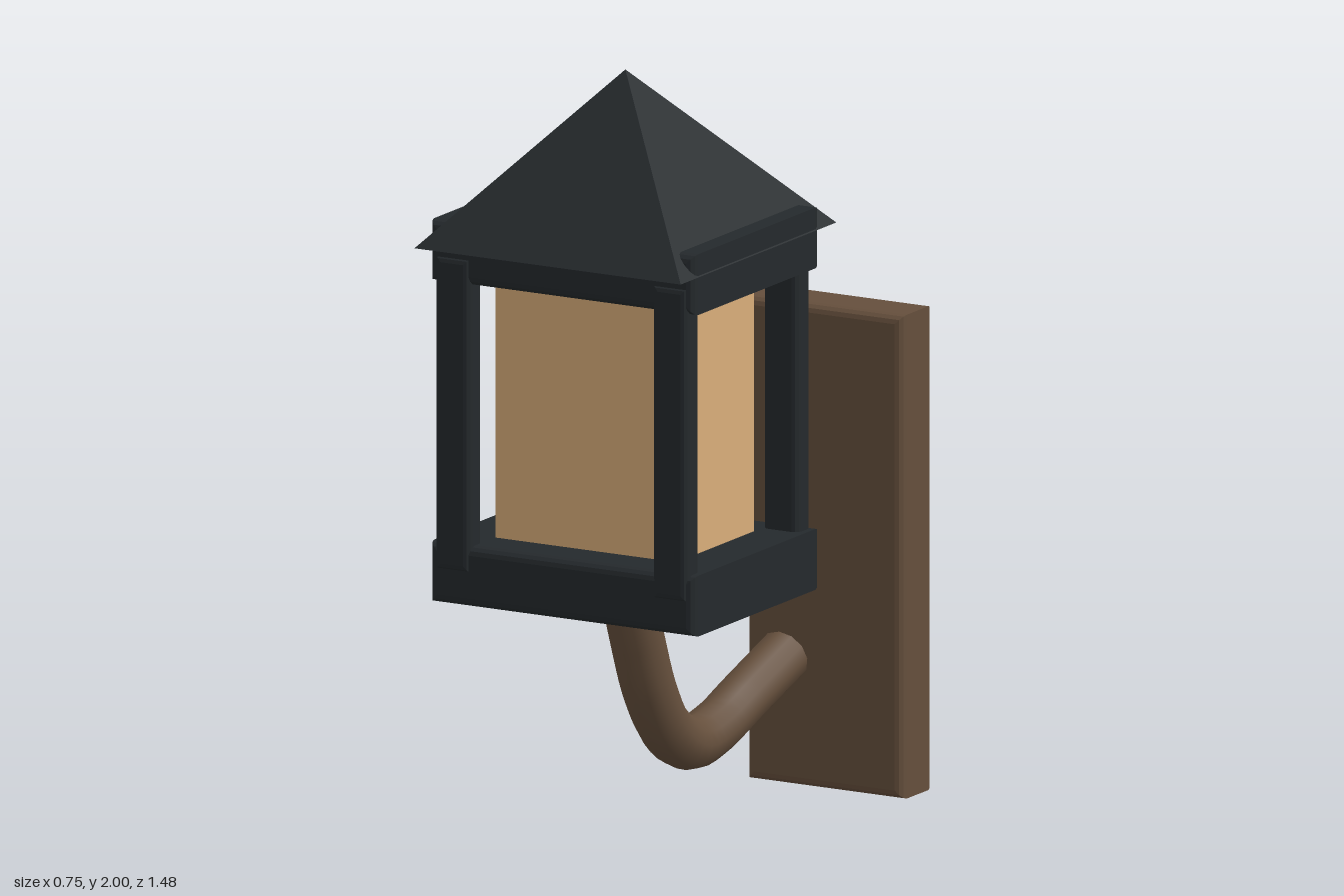
import * as THREE from 'three';

const iron = new THREE.MeshStandardMaterial({ color: 0x24292c });
const wood = new THREE.MeshStandardMaterial({ color: 0x654f3c });
const glow = new THREE.MeshStandardMaterial({ color: 0xd9ad7a });

const LAMP_Z = 0.367; // centre of the lantern

// Box whose front and back rims are rounded over
function bevelledBox(w, h, d, bevel) {
  const x = w / 2 - bevel, y = h / 2 - bevel;
  const shape = new THREE.Shape([
    new THREE.Vector2(-x, -y), new THREE.Vector2(x, -y),
    new THREE.Vector2(x, y), new THREE.Vector2(-x, y),
  ]);
  const geometry = new THREE.ExtrudeGeometry(shape, {
    depth: d - 2 * bevel, bevelEnabled: true,
    bevelThickness: bevel, bevelSize: bevel, bevelSegments: 3,
  });
  return geometry.translate(0, 0, bevel - d / 2);
}

export function createModel() {
  const model = new THREE.Group();
  model.name = 'wallLantern';

  function add(parent, name, geometry, material, x, y, z) {
    const mesh = new THREE.Mesh(geometry, material);
    mesh.name = name;
    mesh.position.set(x, y, z);
    parent.add(mesh);
    return mesh;
  }

  // Wall plate
  add(model, 'wallPlate', bevelledBox(0.44, 1.21, 0.147, 0.022), wood, 0, 0.605, -0.668);

  // Curved arm with a cap on its free end
  const path = new THREE.CatmullRomCurve3([
    [0.75, 0.375], [0.69, 0.352], [0.56, 0.305], [0.42, 0.245], [0.31, 0.165],
    [0.253, 0.06], [0.265, -0.06], [0.315, -0.21], [0.377, -0.398],
  ].map(([y, z]) => new THREE.Vector3(0, y, z)));
  const arm = new THREE.Group();
  arm.name = 'arm';
  model.add(arm);
  add(arm, 'armTube', new THREE.TubeGeometry(path, 32, 0.067, 12), wood, 0, 0, 0);
  const end = path.getPoint(1);
  const cap = add(arm, 'armEnd', new THREE.CircleGeometry(0.067, 12), wood, end.x, end.y, end.z);
  cap.lookAt(end.clone().add(path.getTangent(1)));

  // Lantern
  const lantern = new THREE.Group();
  lantern.name = 'lantern';
  lantern.position.z = LAMP_Z;
  model.add(lantern);
  add(lantern, 'base', bevelledBox(0.745, 0.152, 0.61, 0.022), iron, 0, 0.762, 0);
  add(lantern, 'topBand', bevelledBox(0.745, 0.152, 0.61, 0.022), iron, 0, 1.566, 0);
  add(lantern, 'lampCore', new THREE.BoxGeometry(0.51, 0.72, 0.375), glow, 0, 1.165, 0);

  // Corner posts
  for (const sx of [-1, 1]) {
    for (const sz of [-1, 1]) {
      add(lantern, 'cornerPost', bevelledBox(0.1, 0.79, 0.065, 0.018), iron,
        sx * 0.306, 1.165, sz * (sz > 0 ? 0.278 : 0.258));
    }
  }

  // Pyramid roof
  const roof = new THREE.ConeGeometry(0.375 * Math.SQRT2, 0.415, 4).rotateY(Math.PI / 4).toNonIndexed();
  roof.computeVertexNormals();
  add(lantern, 'roof', roof, iron, 0, 1.7925, -0.003);

  return model;
}
